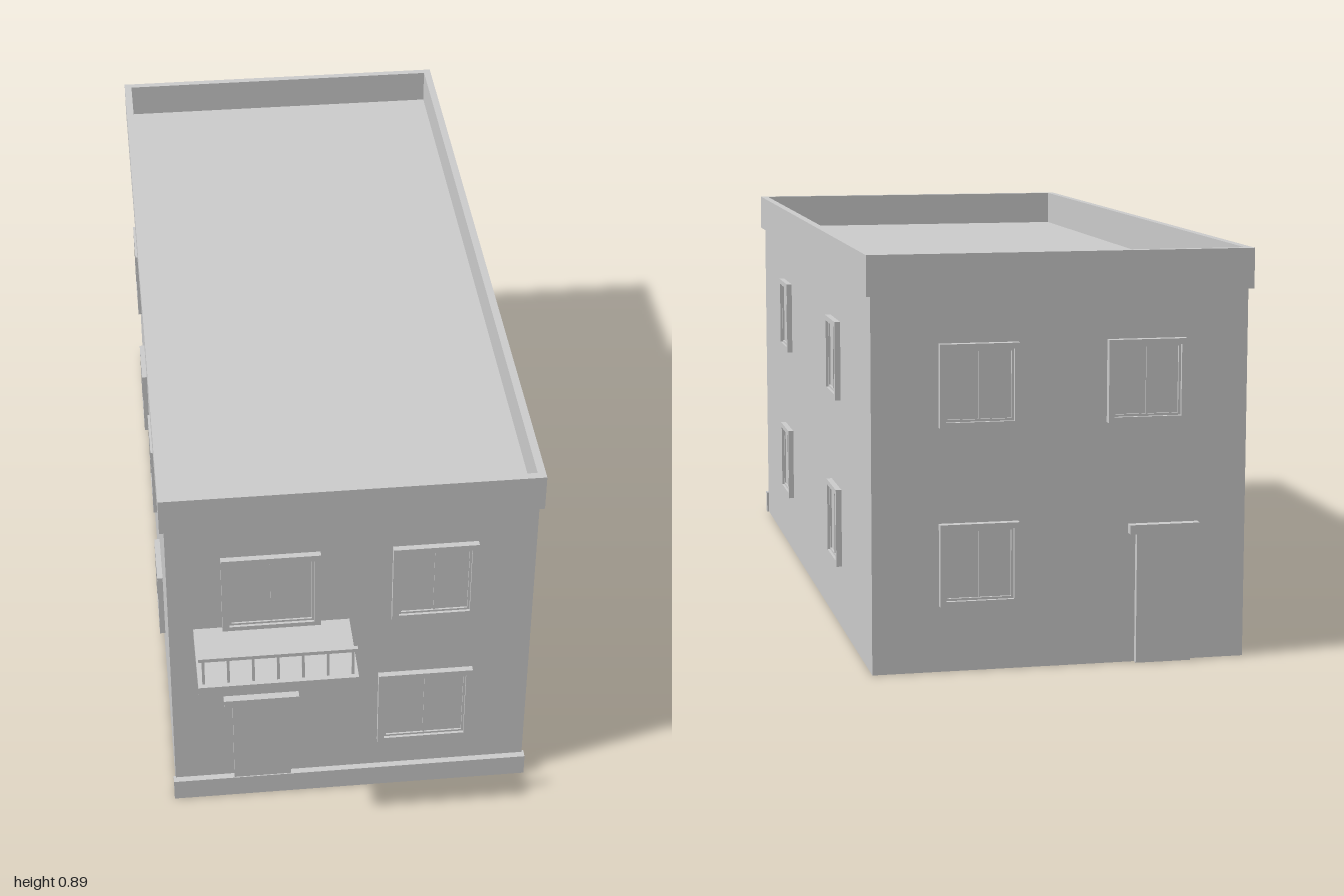
import * as THREE from 'three';

const mat = new THREE.MeshStandardMaterial({ color: 0xcccccc, flatShading: true });

// Box given by its min/max extents
function box(parent, name, x0, x1, y0, y1, z0, z1) {
  const mesh = new THREE.Mesh(new THREE.BoxGeometry(x1 - x0, y1 - y0, z1 - z0), mat);
  mesh.position.set((x0 + x1) / 2, (y0 + y1) / 2, (z0 + z1) / 2);
  mesh.name = name;
  parent.add(mesh);
  return mesh;
}

// Rectangular ring in the XY plane, extruded from z = 0 to depth
function ring(parent, name, w, h, border, depth) {
  const rect = (P, a, b) => new P([[-a, -b], [a, -b], [a, b], [-a, b]].map(p => new THREE.Vector2(...p)));
  const shape = rect(THREE.Shape, w / 2, h / 2);
  shape.holes.push(rect(THREE.Path, w / 2 - border, h / 2 - border));
  const mesh = new THREE.Mesh(new THREE.ExtrudeGeometry(shape, { depth, bevelEnabled: false }), mat);
  mesh.name = name;
  parent.add(mesh);
  return mesh;
}

// Framed two-leaf window facing +z, built around its centre
function makeWindow(name, w, h, border, depth) {
  const g = new THREE.Group();
  g.name = name;
  ring(g, 'windowFrame', w, h, border, depth);
  const a = w / 2 - border, b = h / 2 - border;
  ring(g, 'windowSash', 2 * a, 2 * b, 0.005, depth * 0.55);
  box(g, 'windowPane', -a, a, -b, b, -0.004, depth * 0.25);
  box(g, 'windowMullion', -0.002, 0.002, -b, b, 0, depth * 0.45);
  return g;
}

// Door leaf with a lintel, facing +z, standing on y = 0
function makeDoor(name, w, lintelW, depth) {
  const g = new THREE.Group();
  g.name = name;
  box(g, 'doorLeaf', -w / 2, w / 2, 0, 0.285, -0.004, depth * 0.7);
  box(g, 'doorLintel', -lintelW / 2, lintelW / 2, 0.285, 0.305, -0.004, depth);
  return g;
}

export function createModel() {
  const model = new THREE.Group();
  model.name = 'building';
  const W = 0.41, FRONT = 0.81, BACK = -0.98;

  // Main volume, front plinth
  box(model, 'walls', -W, W, 0, 0.812, BACK, FRONT);
  box(model, 'frontPlinth', -0.415, 0.415, 0, 0.055, FRONT - 0.005, 0.825);

  // Roof parapet
  const pw = 0.84, pd = 1.81;
  const parapet = ring(model, 'roofParapet', pw, pd, 0.018, 0.087);
  parapet.rotation.x = -Math.PI / 2;
  parapet.position.set(0, 0.808, -0.085);

  // Front windows: x0, x1, y0, y1
  [[-0.29, -0.07, 0.513, 0.72], [0.09, 0.28, 0.513, 0.72], [0.063, 0.28, 0.133, 0.345]].forEach(([x0, x1, y0, y1]) => {
    const win = makeWindow('frontWindow', x1 - x0, y1 - y0, 0.015, 0.014);
    win.position.set((x0 + x1) / 2, (y0 + y1) / 2, FRONT);
    model.add(win);
  });

  // Side windows, mirrored on both long walls
  for (const s of [-1, 1]) for (const z of [0.332, -0.492]) for (const y of [0.617, 0.233]) {
    const win = makeWindow(s > 0 ? 'leftWindow' : 'rightWindow', 0.147, 0.178, 0.012, 0.013);
    win.position.set(s * W, y, z);
    win.rotation.y = s * Math.PI / 2;
    model.add(win);
  }

  // Back windows
  [[0.18, 0.617], [0.18, 0.233], [-0.185, 0.617]].forEach(([x, y]) => {
    const win = makeWindow('backWindow', 0.172, 0.178, 0.012, 0.018);
    win.position.set(x, y, BACK);
    win.rotation.y = Math.PI;
    model.add(win);
  });

  // Doors
  const frontDoor = makeDoor('frontDoor', 0.133, 0.172, 0.018);
  frontDoor.position.set(-0.206, 0, FRONT);
  const backDoor = makeDoor('backDoor', 0.122, 0.155, 0.02);
  backDoor.position.set(-0.226, 0, BACK);
  backDoor.rotation.y = Math.PI;
  model.add(frontDoor, backDoor);

  // Balcony: slab, balusters and handrail
  const balcony = new THREE.Group();
  balcony.name = 'balcony';
  box(balcony, 'balconySlab', -0.355, -0.005, 0.498, 0.517, FRONT - 0.005, 1.0);
  box(balcony, 'balconyRail', -0.353, -0.007, 0.583, 0.592, 0.981, 0.991);
  for (let i = 0; i < 7; i++) {
    const x = -0.343 + i * 0.0543;
    box(balcony, 'baluster', x - 0.003, x + 0.003, 0.515, 0.585, 0.983, 0.989);
  }
  model.add(balcony);

  return model;
}
